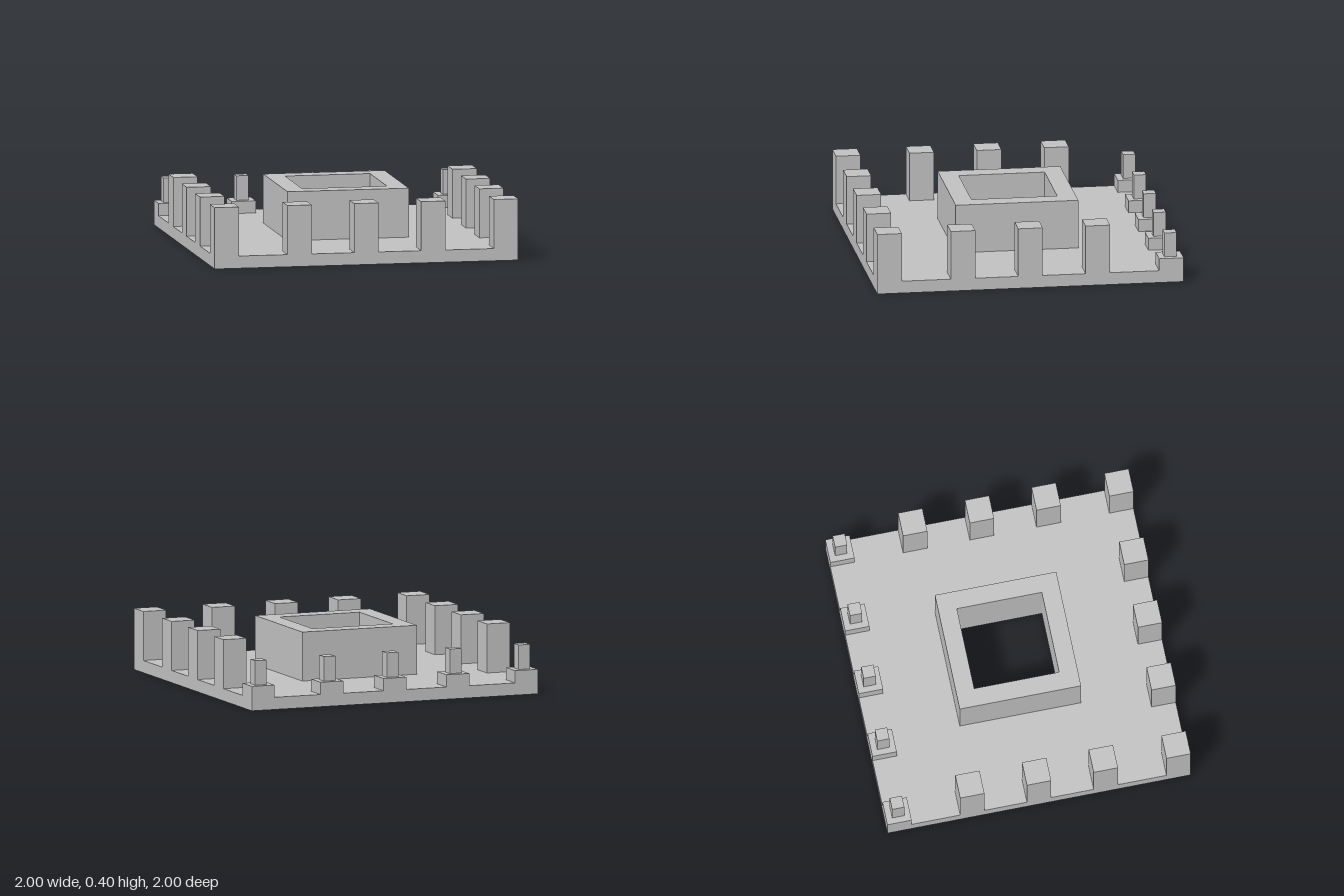
import * as THREE from 'three';

const stone = new THREE.MeshStandardMaterial({ color: 0xc0c0c0 });
stone.name = 'light grey';

const SLAB = 0.08;   // base plate thickness
const TOP = 0.4;     // height of wall and tall posts
const POST = 0.16;   // post width
const EDGE = 0.92;   // post centre line along the rim

// Square plate with a square hole, standing between two heights
function squareFrame(name, outer, inner, y0, y1) {
  const square = (path, h) => {
    path.moveTo(-h, -h);
    path.lineTo(h, -h);
    path.lineTo(h, h);
    path.lineTo(-h, h);
    path.closePath();
    return path;
  };
  const shape = square(new THREE.Shape(), outer);
  shape.holes.push(square(new THREE.Path(), inner));
  const geometry = new THREE.ExtrudeGeometry(shape, { depth: y1 - y0, bevelEnabled: false });
  geometry.rotateX(-Math.PI / 2).translate(0, y0, 0);
  const mesh = new THREE.Mesh(geometry, stone);
  mesh.name = name;
  return mesh;
}

// Square pillar between two heights
function pillar(name, width, x, z, y0, y1) {
  const mesh = new THREE.Mesh(new THREE.BoxGeometry(width, y1 - y0, width), stone);
  mesh.position.set(x, (y0 + y1) / 2, z);
  mesh.name = name;
  return mesh;
}

export function createModel() {
  const model = new THREE.Group();
  model.name = 'courtyard';

  // Base plate and raised central wall share one open shaft
  model.add(squareFrame('basePlate', 1, 0.28, 0, SLAB));
  model.add(squareFrame('centralWall', 0.4, 0.28, SLAB, TOP));

  // Tall front posts, and short back plinths each carrying a slim pin
  for (const x of [-EDGE, -0.44, 0, 0.44, EDGE]) {
    model.add(pillar('frontPost', POST, x, EDGE, SLAB, TOP));
    model.add(pillar('backPlinth', POST, x, -EDGE, SLAB, 0.16));
    model.add(pillar('backPin', 0.08, x, -EDGE, 0.16, 0.32));
  }

  // Tall posts along both sides
  for (const z of [-0.44, 0, 0.44]) {
    model.add(pillar('leftPost', POST, EDGE, z, SLAB, TOP));
    model.add(pillar('rightPost', POST, -EDGE, z, SLAB, TOP));
  }
  return model;
}
